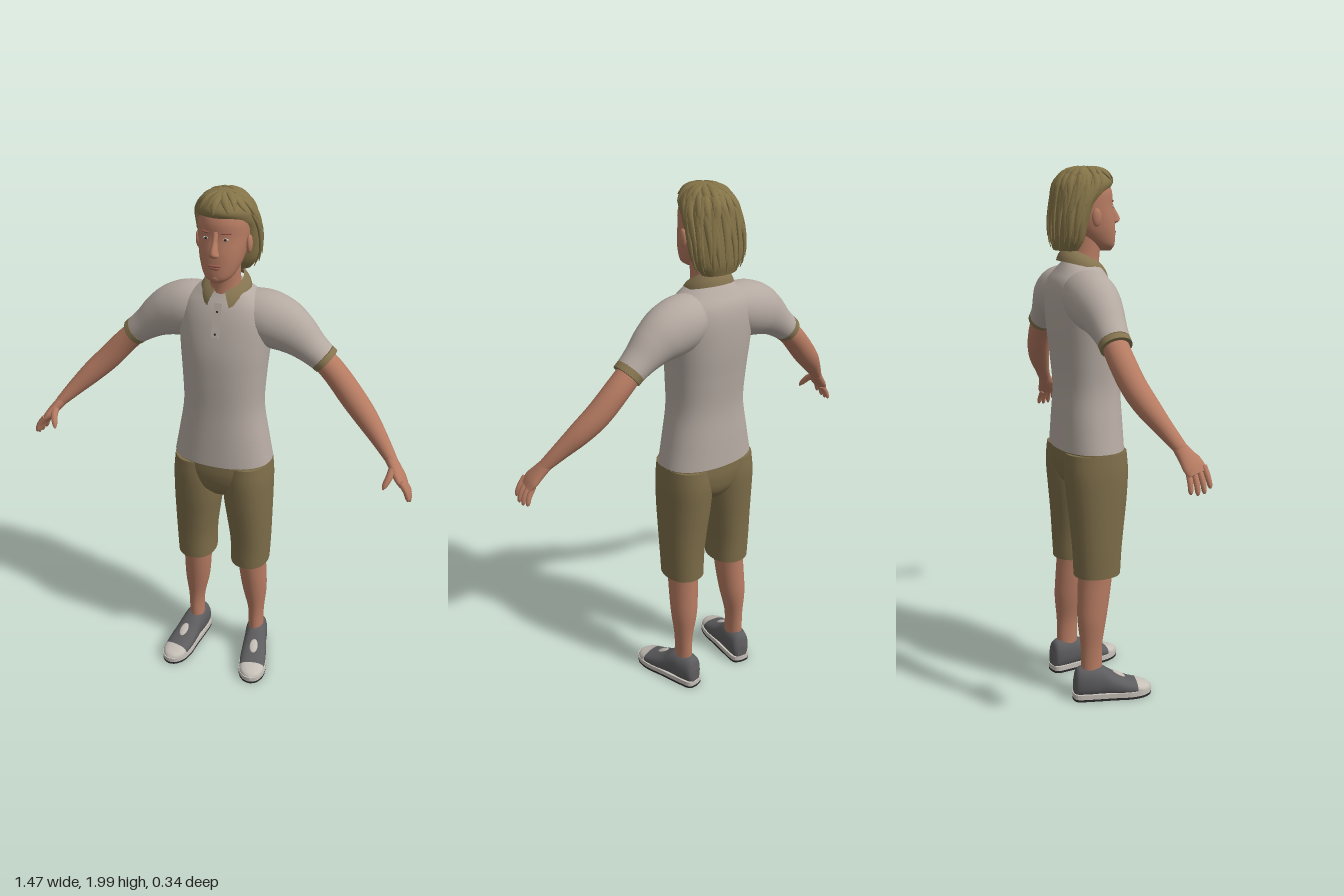
import * as THREE from 'three';

const mat = (name, color, side = THREE.FrontSide) => {
  const m = new THREE.MeshStandardMaterial({ color, side });
  m.name = name;
  return m;
};
const X = new THREE.Vector3(1, 0, 0), Y = new THREE.Vector3(0, 1, 0), Z = new THREE.Vector3(0, 0, 1);

// Smooth curves through sections [x, y, z, radiusU, radiusV]
function curves(sections) {
  const curve = (f) => new THREE.CatmullRomCurve3(sections.map(f), false, 'catmullrom', 0.5);
  return {
    centre: curve((s) => new THREE.Vector3(s[0], s[1], s[2])),
    radius: curve((s) => new THREE.Vector3(s[3], s[4], 0)),
  };
}

// Skin over elliptical sections; a fixed axis keeps all rings parallel
function loft(sections, { axis = null, ref = X, seg = 28, step = 5, power = 2 } = {}) {
  const { centre, radius } = curves(sections);
  const rows = (sections.length - 1) * step, pos = [], idx = [];
  const ring = (t) => {
    const c = centre.getPoint(t), r = radius.getPoint(t);
    const d = axis || centre.getTangent(t);
    const u = ref.clone().addScaledVector(d, -ref.dot(d)).normalize();
    const v = d.clone().cross(u);
    for (let j = 0; j < seg; j++) {
      const a = (j / seg) * Math.PI * 2, e = 2 / power;
      const cu = Math.sign(Math.cos(a)) * Math.abs(Math.cos(a)) ** e;
      const sv = Math.sign(Math.sin(a)) * Math.abs(Math.sin(a)) ** e;
      const p = c.clone().addScaledVector(u, cu * r.x).addScaledVector(v, sv * r.y);
      pos.push(p.x, p.y, p.z);
    }
    return c;
  };
  for (let i = 0; i <= rows; i++) ring(i / rows);
  for (let i = 0; i < rows; i++) for (let j = 0; j < seg; j++) {
    const a = i * seg + j, b = i * seg + (j + 1) % seg;
    idx.push(a, b, a + seg, b, b + seg, a + seg);
  }
  for (const t of [0, 1]) { // end caps with their own rims
    const base = pos.length / 3, c = ring(t);
    pos.push(c.x, c.y, c.z);
    for (let j = 0; j < seg; j++) {
      const a = base + j, b = base + (j + 1) % seg;
      idx.push(base + seg, ...(t ? [a, b] : [b, a]));
    }
  }
  const g = new THREE.BufferGeometry();
  g.setAttribute('position', new THREE.Float32BufferAttribute(pos, 3));
  g.setIndex(idx);
  g.computeVertexNormals();
  return g;
}

export function createModel() {
  const root = new THREE.Group();
  root.name = 'standingMan';
  const skin = mat('skin', 0xb67b62), lip = mat('lips', 0x96594b), shirt = mat('shirtGrey', 0xb5aaa2);
  const khaki = mat('khaki', 0x7d6d49), trim = mat('khakiTrim', 0x857450, THREE.DoubleSide);
  const hairMat = mat('hair', 0x857448), shoeMat = mat('shoeGrey', 0x5d5d5f);
  const light = mat('offWhite', 0xc6c0b8), dark = mat('outsoleBlack', 0x2c2b2d), eyeMat = mat('eyeBrown', 0x3c2a22);
  const add = (name, geo, m, parent = root) => {
    const mesh = new THREE.Mesh(geo, m);
    mesh.name = name;
    parent.add(mesh);
    return mesh;
  };
  const ball = (name, m, p, s) => {
    const b = add(name, new THREE.SphereGeometry(1, 16, 10), m);
    b.position.set(...p);
    b.scale.set(...s);
    return b;
  };

  // Shirt body
  add('shirtBody', loft([
    [0, 0.98, -0.028, 0.188, 0.126], [0, 1.08, -0.028, 0.169, 0.122], [0, 1.2, -0.028, 0.15, 0.117],
    [0, 1.32, -0.033, 0.154, 0.122], [0, 1.43, -0.041, 0.163, 0.126], [0, 1.53, -0.052, 0.17, 0.118],
    [0, 1.59, -0.057, 0.155, 0.103], [0, 1.63, -0.055, 0.112, 0.08], [0, 1.66, -0.052, 0.066, 0.062],
  ], { axis: Y, seg: 48, power: 2.25 }), shirt);
  const placket = add('placket', new THREE.BoxGeometry(0.028, 0.12, 0.006), shirt);
  placket.position.set(0, 1.555, 0.056);
  placket.rotation.x = -0.32;
  for (const [y, z] of [[1.585, 0.051], [1.51, 0.075]]) ball('button', dark, [0, y, z], [0.004, 0.004, 0.003]);

  // Folded collar, open at the front with pointed flaps
  const collar = new THREE.PlaneGeometry(1, 1, 48, 4), cp = collar.attributes.position;
  for (let i = 0; i < cp.count; i++) {
    const s = cp.getX(i) * 2, down = 0.5 - cp.getY(i);
    const a = s * (Math.PI - 0.3 - 0.15 * down); // 0 is the back
    const back = Math.cos(a), tip = Math.max(0, Math.abs(s) - 0.72) / 0.28;
    const r = 0.061 + 0.029 * down + 0.006 * Math.sin(down * Math.PI);
    cp.setXYZ(i, Math.sin(a) * r, 1.682 + 0.03 * back - down * (0.04 + 0.008 * back + 0.022 * tip),
      -0.046 - back * r + 0.008 * tip);
  }
  collar.computeVertexNormals();
  add('collar', collar, trim);

  // Shorts waist
  add('shortsSeat', loft([
    [0, 0.825, -0.028, 0.05, 0.075], [0, 0.87, -0.028, 0.135, 0.108],
    [0, 0.93, -0.028, 0.183, 0.122], [0, 0.99, -0.028, 0.184, 0.122],
  ], { axis: Y, seg: 40, power: 2.25 }), khaki);

  // Neck and head
  add('neck', loft([
    [0, 1.58, -0.04, 0.07, 0.068], [0, 1.65, -0.04, 0.057, 0.06],
    [0, 1.71, -0.032, 0.054, 0.056], [0, 1.78, -0.03, 0.055, 0.06],
  ], { axis: Y }), skin);
  add('head', loft([
    [0, 1.695, 0.045, 0.02, 0.022], [0, 1.715, 0.025, 0.05, 0.054], [0, 1.755, 0.002, 0.07, 0.078],
    [0, 1.8, -0.015, 0.081, 0.092], [0, 1.85, -0.03, 0.087, 0.098], [0, 1.9, -0.032, 0.086, 0.098],
    [0, 1.94, -0.033, 0.071, 0.08], [0, 1.97, -0.035, 0.035, 0.04],
  ], { axis: Y, seg: 36, power: 2.15 }), skin);
  add('nose', loft([
    [0, 1.79, 0.076, 0.011, 0.01], [0, 1.798, 0.082, 0.018, 0.018], [0, 1.812, 0.082, 0.014, 0.021],
    [0, 1.845, 0.07, 0.009, 0.014], [0, 1.875, 0.06, 0.01, 0.01],
  ], { axis: Y, seg: 16 }), skin);
  ball('upperLip', lip, [0, 1.761, 0.079], [0.024, 0.005, 0.006]);
  ball('lowerLip', lip, [0, 1.752, 0.078], [0.02, 0.005, 0.006]);
  ball('chin', skin, [0, 1.717, 0.064], [0.024, 0.018, 0.017]);

  // Hair mass
  const hairRows = [
    [0, 1.7, -0.105, 0.07, 0.04], [0, 1.74, -0.1, 0.096, 0.055], [0, 1.8, -0.092, 0.105, 0.064],
    [0, 1.86, -0.075, 0.105, 0.076], [0, 1.9, -0.05, 0.1, 0.094], [0, 1.935, -0.035, 0.09, 0.104],
    [0, 1.97, -0.03, 0.062, 0.075], [0, 1.988, -0.028, 0.02, 0.025],
  ];
  add('hairMass', loft(hairRows, { axis: Y, seg: 40 }), hairMat);
  // Locks draped from the crown over the mass
  const hc = curves(hairRows);
  const lock = (a, t0, t1, w, lift, i) => {
    const pts = [];
    for (let k = 0; k <= 4; k++) {
      const f = k / 4, t = t0 + (t1 - t0) * f, c = hc.centre.getPoint(t), r = hc.radius.getPoint(t);
      const g = 1 + lift * f * f, b = a + 0.08 * Math.sin(i * 2.3 + f * 3);
      const fat = Math.sin(Math.PI * (0.15 + 0.8 * f));
      pts.push([c.x + Math.cos(b) * r.x * g, c.y, c.z - Math.sin(b) * r.y * g, 0.007 * fat, w * fat]);
    }
    add('hairLock', loft(pts, { ref: new THREE.Vector3(Math.cos(a), 0.3, -Math.sin(a)).normalize(), seg: 8, step: 2 }), hairMat);
  };
  for (let i = 0; i < 19; i++) {
    const a = -0.15 + (i / 18) * (Math.PI + 0.3);
    lock(a, 0.8, 0.03 + 0.07 * (i % 3), 0.013, 0.12, i);
    lock(a + 0.09, 0.93, 0.36 + 0.06 * (i % 2), 0.013, 0.1, i + 5);
  }
  for (let i = 0; i < 16; i++) lock((i / 16) * Math.PI * 2, 0.99, 0.7 + 0.03 * (i % 3), 0.014, 0.05, i);

  // Paired parts
  for (const s of [1, -1]) {
    const m = (pts) => pts.map(([x, ...rest]) => [s * x, ...rest]);
    const side = s > 0 ? 'left' : 'right';

    // Face side details
    ball(side + 'Ear', skin, [s * 0.09, 1.815, -0.022], [0.01, 0.032, 0.018]);
    ball(side + 'EyeWhite', light, [s * 0.034, 1.85, 0.0615], [0.012, 0.0045, 0.004]);
    ball(side + 'Iris', eyeMat, [s * 0.034, 1.85, 0.0645], [0.0045, 0.0042, 0.002]);
    ball(side + 'Brow', lip, [s * 0.035, 1.87, 0.059], [0.02, 0.004, 0.006]).rotation.y = s * 0.3;

    // Sleeve and cuff
    add(side + 'Sleeve', loft(m([
      [0.04, 1.56, -0.065, 0.08, 0.075], [0.13, 1.54, -0.067, 0.094, 0.098], [0.2, 1.517, -0.068, 0.088, 0.096],
      [0.255, 1.488, -0.067, 0.075, 0.08], [0.31, 1.447, -0.066, 0.062, 0.06], [0.36, 1.408, -0.066, 0.055, 0.05],
    ]), { ref: Z }), shirt);
    add(side + 'Cuff', loft(m([
      [0.348, 1.418, -0.066, 0.057, 0.052], [0.367, 1.402, -0.066, 0.057, 0.051],
    ]), { ref: Z }), trim);

    // Bare arm
    add(side + 'Arm', loft(m([
      [0.33, 1.43, -0.066, 0.045, 0.042], [0.4, 1.363, -0.063, 0.046, 0.044], [0.47, 1.287, -0.048, 0.045, 0.045],
      [0.53, 1.228, -0.025, 0.041, 0.041], [0.59, 1.168, 0.007, 0.031, 0.031], [0.645, 1.11, 0.04, 0.024, 0.02],
    ]), { ref: Z }), skin);

    // Hand, four fingers and a thumb
    add(side + 'Palm', loft(m([
      [0.635, 1.12, 0.034, 0.024, 0.02], [0.66, 1.09, 0.05, 0.032, 0.019],
      [0.683, 1.062, 0.064, 0.04, 0.017], [0.7, 1.04, 0.072, 0.036, 0.012],
    ]), { ref: Z, seg: 20 }), skin);
    [-1.5, -0.5, 0.5, 1.5].forEach((k, i) => {
      const z = 0.071 + k * 0.018, y = 1.052 + k * 0.007, len = [0.8, 0.95, 1, 0.9][i];
      add(side + 'Finger', loft(m([
        [0.69, y, z, 0.01, 0.01], [0.69 + 0.025 * len, y - 0.035 * len, z + 0.002 * k, 0.0098, 0.0095],
        [0.69 + 0.036 * len, y - 0.064 * len, z + 0.004 * k, 0.008, 0.008], [0.69 + 0.038 * len, y - 0.075 * len, z + 0.004 * k, 0.003, 0.003],
      ]), { ref: Z, seg: 10, step: 3 }), skin);
    });
    add(side + 'Thumb', loft(m([
      [0.655, 1.098, 0.06, 0.014, 0.014], [0.65, 1.075, 0.092, 0.013, 0.013],
      [0.64, 1.05, 0.113, 0.01, 0.01], [0.635, 1.035, 0.122, 0.003, 0.003],
    ]), { ref: X, seg: 10, step: 3 }), skin);

    // Shorts leg and calf
    add(side + 'ShortsLeg', loft(m([
      [0.111, 0.5, -0.03, 0.075, 0.089], [0.112, 0.6, -0.03, 0.078, 0.094], [0.107, 0.7, -0.028, 0.085, 0.103],
      [0.101, 0.8, -0.027, 0.092, 0.114], [0.098, 0.9, -0.028, 0.094, 0.121], [0.097, 0.975, -0.028, 0.088, 0.116],
    ]), { axis: Y, power: 2.2 }), khaki);
    add(side + 'Calf', loft(m([
      [0.132, 0.06, -0.06, 0.034, 0.042], [0.132, 0.14, -0.06, 0.03, 0.042], [0.131, 0.22, -0.06, 0.033, 0.043],
      [0.125, 0.32, -0.056, 0.048, 0.056], [0.12, 0.4, -0.048, 0.053, 0.062], [0.116, 0.48, -0.04, 0.055, 0.066],
      [0.113, 0.56, -0.034, 0.06, 0.07],
    ]), { axis: Y }), skin);

    // Shoe, turned slightly outwards
    const shoe = new THREE.Group();
    shoe.name = side + 'Shoe';
    shoe.position.x = s * 0.147;
    shoe.rotation.y = s * 0.19;
    root.add(shoe);
    const body = (z, w, h) => [0, (h + 0.008) / 2, z, w, (h - 0.008) / 2];
    add('shoeUpper', loft([
      body(-0.133, 0.018, 0.08), body(-0.118, 0.036, 0.125), body(-0.07, 0.045, 0.134), body(-0.025, 0.046, 0.128),
      body(0.02, 0.05, 0.098), body(0.07, 0.053, 0.073), body(0.12, 0.048, 0.054), body(0.15, 0.034, 0.043),
    ], { axis: Z, power: 2.3 }), shoeMat, shoe);
    add('toeCap', loft([
      body(0.112, 0.0515, 0.059), body(0.135, 0.046, 0.05), body(0.158, 0.03, 0.041), body(0.171, 0.008, 0.028),
    ], { axis: Z, power: 2.3 }), light, shoe);
    const outline = [[0.012, -0.136], [0.036, -0.122], [0.044, -0.06], [0.05, 0.02], [0.056, 0.08], [0.05, 0.13], [0.03, 0.162], [0.008, 0.173]];
    const loop = [...outline, ...outline.map(([x, z]) => [-x, z]).reverse()].map(([x, z]) => new THREE.Vector2(x, -z));
    const shape = new THREE.Shape(new THREE.SplineCurve([...loop, loop[0]]).getPoints(64).slice(0, -1));
    for (const [name, y, h, m2] of [['outsole', 0, 0.009, dark], ['soleRim', 0.009, 0.019, light]]) {
      const g = new THREE.ExtrudeGeometry(shape, { depth: h, bevelEnabled: false });
      g.rotateX(-Math.PI / 2);
      g.translate(0, y, 0);
      add(name, g, m2, shoe);
    }
    // Pale lace patch on the instep
    const patch = add('lacePatch', new THREE.SphereGeometry(1, 14, 8), light, shoe);
    patch.scale.set(0.017, 0.005, 0.03);
    patch.position.set(0, 0.0875, 0.045);
    patch.rotation.x = 0.53;
  }
  return root;
}
